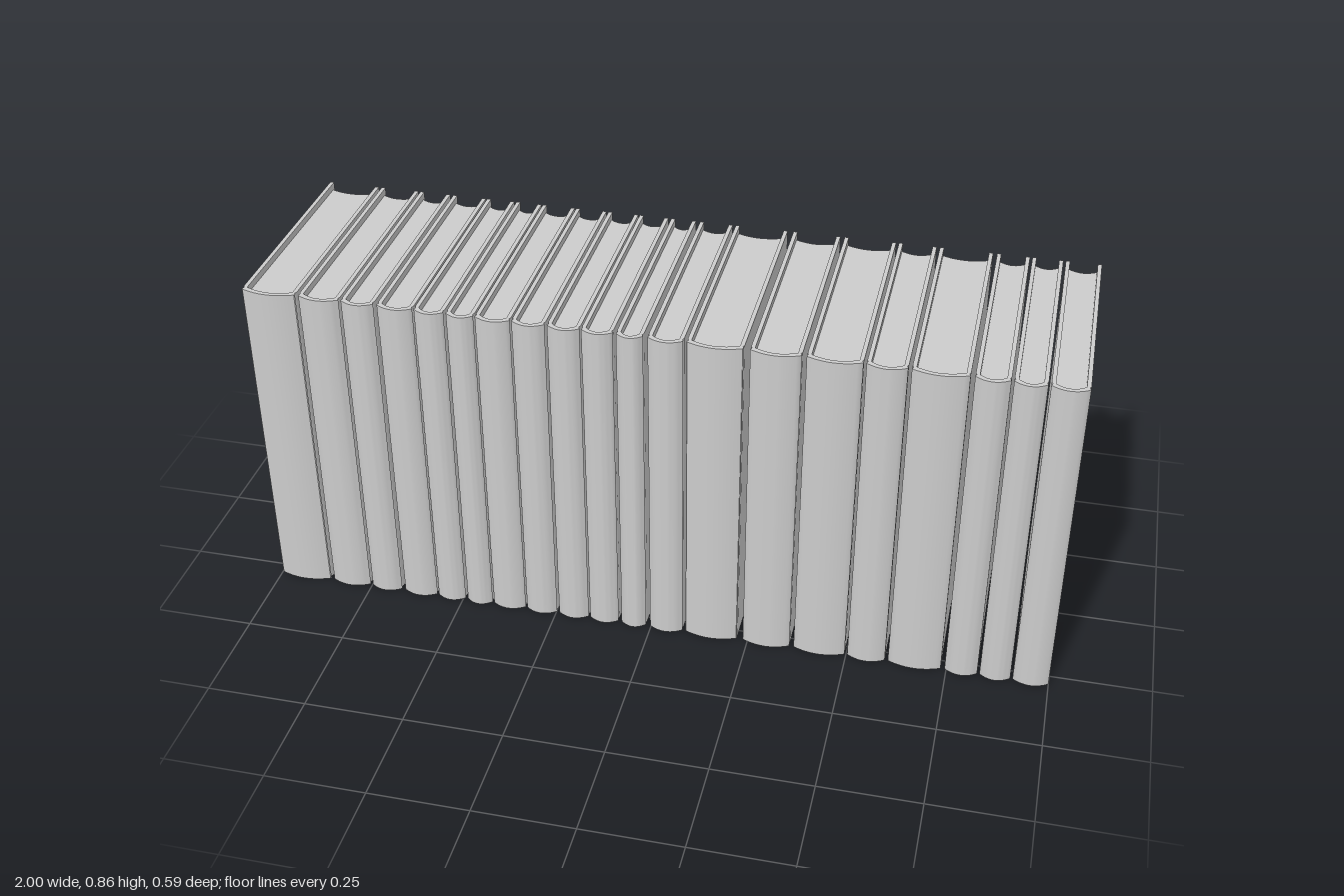
import * as THREE from 'three';
import { toCreasedNormals } from 'three/addons/utils/BufferGeometryUtils.js';

const HEIGHT = 0.86, BACK = -0.295, JOINT = 0.272, BOARD = 0.01, INSET = 0.017;

// left and right side of each book along the row
const BOOKS = [
  [-1, -0.865], [-0.857, -0.756], [-0.75, -0.669], [-0.66, -0.572], [-0.568, -0.495],
  [-0.489, -0.422], [-0.418, -0.333], [-0.329, -0.249], [-0.243, -0.165], [-0.161, -0.086],
  [-0.078, -0.014], [-0.003, 0.081], [0.089, 0.222], [0.237, 0.356], [0.367, 0.496],
  [0.503, 0.597], [0.605, 0.736], [0.746, 0.826], [0.832, 0.907], [0.913, 1],
];

// points of a shallow curve across x, from -w to w, bulging in z
function bow(w, z, bulge, n = 12) {
  return Array.from({ length: n + 1 }, (_, i) => {
    const t = (i / n) * 2 - 1;
    return [t * w, z + bulge * (1 - t * t)];
  });
}

// extrudes an outline of [x, z] points upwards from y0 to y1
function prism(points, y0, y1) {
  const shape = new THREE.Shape(points.map(([x, z]) => new THREE.Vector2(x, -z)));
  const geometry = new THREE.ExtrudeGeometry(shape, { depth: y1 - y0, bevelEnabled: false });
  geometry.rotateX(-Math.PI / 2).translate(0, y0, 0);
  return toCreasedNormals(geometry, 0.6);
}

// boards and rounded spine in one wrap, with a shallow hinge groove
function coverGeometry(w) {
  const inner = w - BOARD;
  const outside = [
    [-w, BACK], [-w, JOINT - 0.006], [-w + 0.003, JOINT],
    [-w, JOINT + 0.006],
    ...bow(w - 0.002, 0.281, 0.014),
    [w, JOINT + 0.006], [w - 0.003, JOINT], [w, JOINT - 0.006], [w, BACK],
  ];
  const inside = [[inner, BACK], ...bow(inner, 0.27, 0.014).reverse(), [-inner, BACK]];
  return prism([...outside, ...inside], 0, HEIGHT);
}

// page block with rounded back and hollow fore edge
function pagesGeometry(w) {
  const inner = w - BOARD;
  return prism(
    [...bow(inner, 0.27, 0.014), ...bow(inner, -0.285, 0.012).reverse()],
    INSET, HEIGHT - INSET,
  );
}

export function createModel() {
  const model = new THREE.Group();
  model.name = 'bookRow';
  const grey = new THREE.MeshStandardMaterial({ color: 0xcccccc });
  grey.name = 'light grey';

  BOOKS.forEach(([left, right], i) => {
    const book = new THREE.Group();
    book.name = `book${i + 1}`;
    book.position.x = (left + right) / 2;
    const w = (right - left) / 2;
    const cover = new THREE.Mesh(coverGeometry(w), grey);
    cover.name = 'cover';
    const pages = new THREE.Mesh(pagesGeometry(w), grey);
    pages.name = 'pages';
    book.add(cover, pages);
    model.add(book);
  });
  return model;
}
